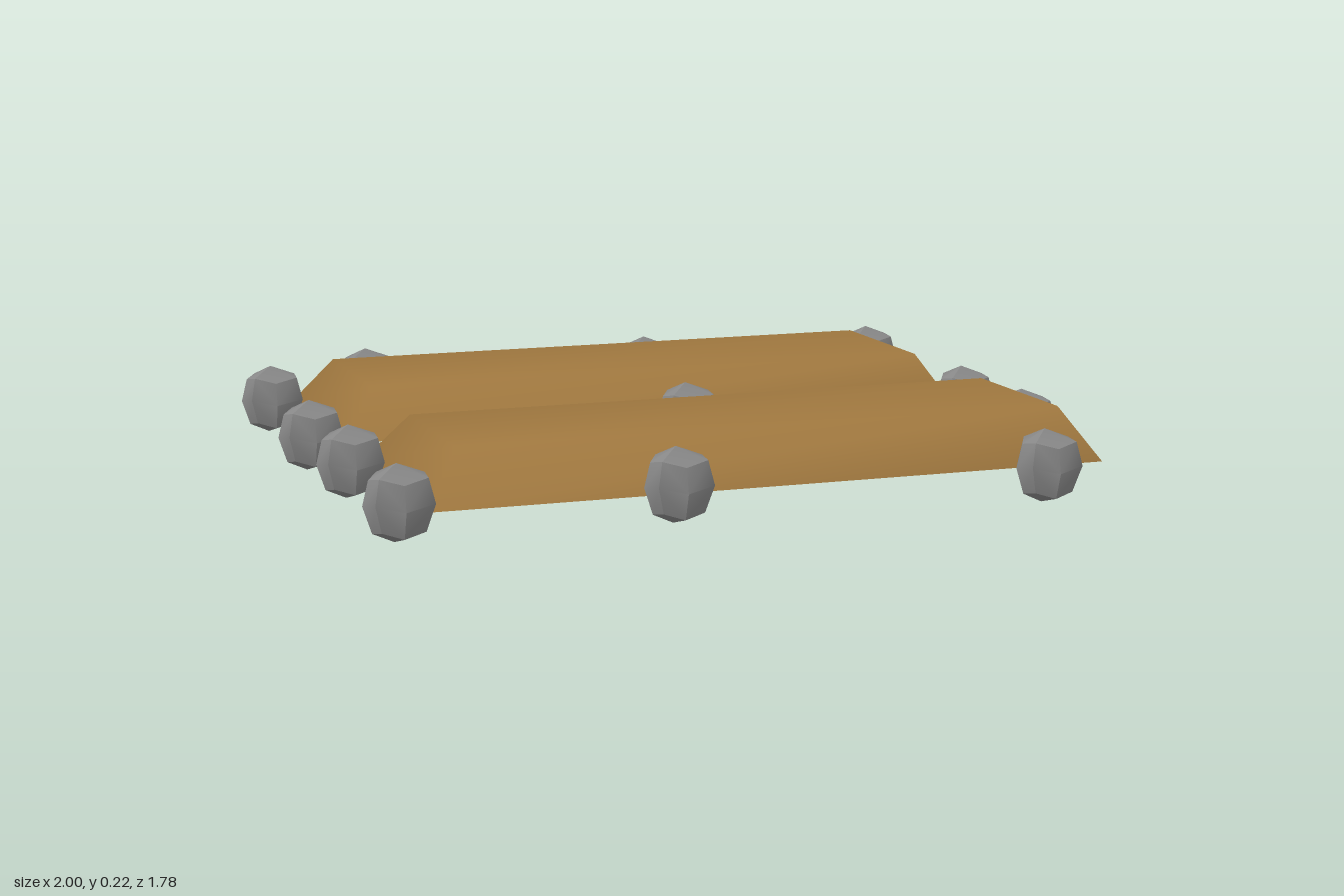
import * as THREE from 'three';
import { ConvexGeometry } from 'three/addons/geometries/ConvexGeometry.js';
import { toCreasedNormals } from 'three/addons/utils/BufferGeometryUtils.js';

// Open-bottomed mound with sloping sides, smooth across its edges
function moundGeometry(bottom, top, y0, y1) {
  const ring = ([x0, x1, z0, z1], y) => [x0, y, z1, x1, y, z1, x1, y, z0, x0, y, z0];
  const geometry = new THREE.BufferGeometry();
  geometry.setAttribute('position',
    new THREE.Float32BufferAttribute([...ring(bottom, y0), ...ring(top, y1)], 3));
  const index = [4, 5, 6, 4, 6, 7];
  for (let i = 0; i < 4; i++) {
    const j = (i + 1) % 4;
    index.push(i, j, j + 4, i, j + 4, i + 4);
  }
  geometry.setIndex(index);
  geometry.computeVertexNormals();
  return geometry;
}

// Chunky stone: hull of three uneven rings and two poles
function stoneGeometry() {
  const outline = [[-0.083, 0.01], [-0.045, -0.055], [0.045, -0.078], [0.08, -0.02],
    [0.075, 0.045], [0, 0.078], [-0.065, 0.06]];
  const points = [new THREE.Vector3(0, 0.088, -0.01), new THREE.Vector3(-0.01, -0.088, 0)];
  for (const [y, scale] of [[0.058, 0.82], [0, 1], [-0.064, 0.74]]) {
    outline.forEach(([x, z], i) => {
      points.push(new THREE.Vector3(x * scale, y + 0.008 * Math.sin(i * 2.3), z * scale));
    });
  }
  return toCreasedNormals(new ConvexGeometry(points), 0.65);
}

export function createModel() {
  const model = new THREE.Group();
  const soil = new THREE.MeshStandardMaterial({ color: 0xa0783f, side: THREE.DoubleSide });
  soil.name = 'soil brown';
  const rock = new THREE.MeshStandardMaterial({ color: 0x888888 });
  rock.name = 'stone grey';

  const add = (name, geometry, material) => {
    const mesh = new THREE.Mesh(geometry, material);
    mesh.name = name;
    model.add(mesh);
    return mesh;
  };

  // Two raised soil beds
  add('frontBed', moundGeometry([-0.84, 0.845, 0.135, 0.765], [-0.75, 0.77, 0.25, 0.67], 0.095, 0.22), soil);
  add('backBed', moundGeometry([-0.84, 0.84, -0.71, -0.065], [-0.75, 0.77, -0.605, -0.16], 0.095, 0.22), soil);

  // Border stones: x, y, z, scale
  const stone = stoneGeometry();
  [
    [-0.917, 0.12, -0.615, 1], [-0.625, 0.115, -0.75, 1.18], [0.215, 0.11, -0.818, 1],
    [0.895, 0.113, -0.767, 1], [-0.92, 0.115, -0.105, 1], [0.917, 0.089, -0.162, 1],
    [0.065, 0.112, -0.047, 1], [-0.905, 0.12, 0.273, 1], [0.89, 0.096, 0.253, 1],
    [-0.91, 0.125, 0.775, 1], [-0.268, 0.127, 0.81, 1], [0.668, 0.107, 0.81, 1],
  ].forEach(([x, y, z, s], i) => {
    const mesh = add(`borderStone${i + 1}`, stone, rock);
    mesh.position.set(x, y, z);
    mesh.scale.setScalar(s);
  });

  return model;
}
